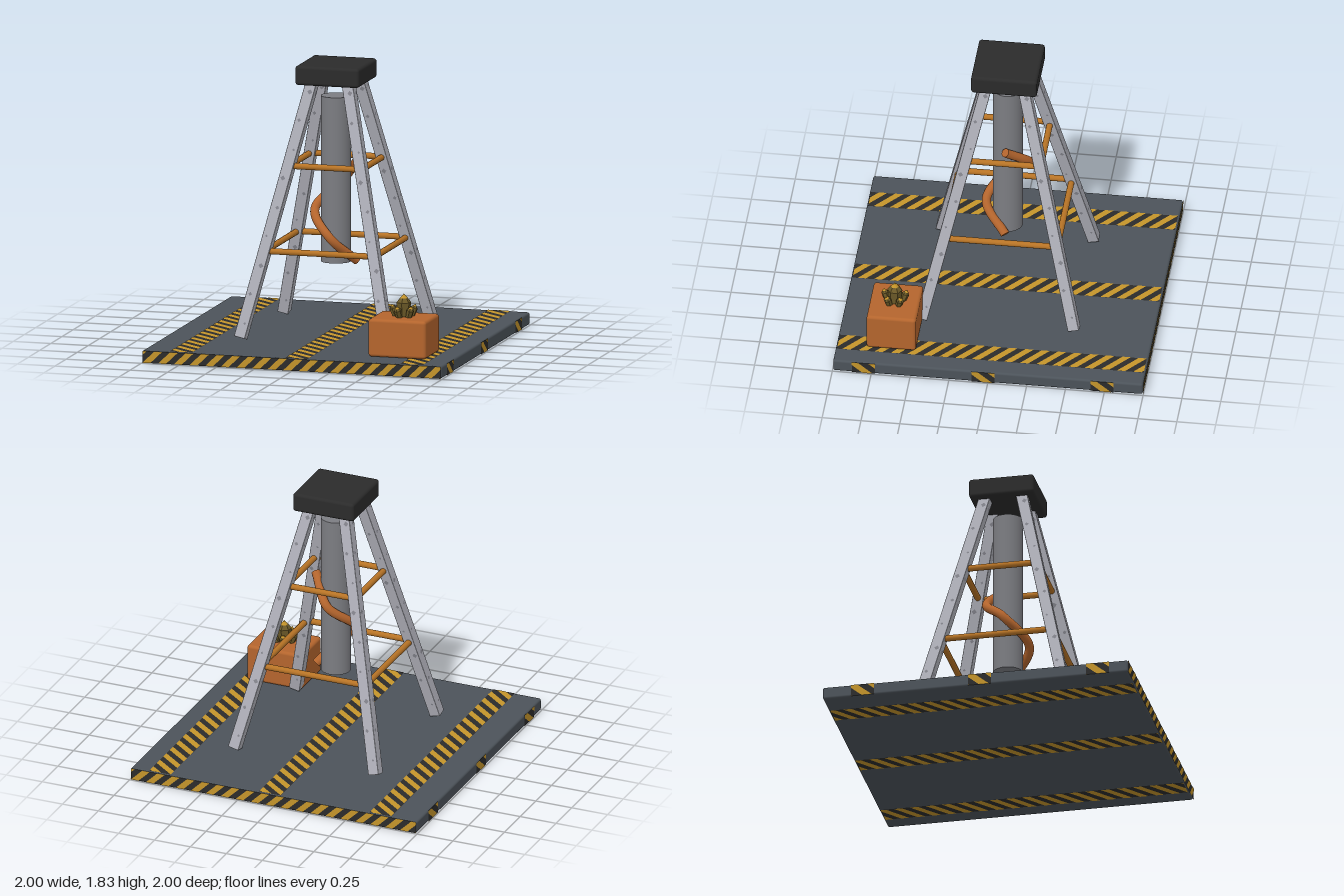
import * as THREE from 'three';
import { RoundedBoxGeometry } from 'three/addons/geometries/RoundedBoxGeometry.js';

const mat = (name, color, flatShading = false) => {
  const m = new THREE.MeshStandardMaterial({ color, flatShading });
  m.name = name;
  return m;
};
const V = (x, y, z) => new THREE.Vector3(x, y, z);

export function createModel() {
  const slate = mat('slate', 0x4c535a);
  const black = mat('black', 0x2b2b2b);
  const yellow = mat('hazardYellow', 0xc4942a);
  const steel = mat('lightSteel', 0xb0b1ba);
  const wear = mat('wornSteel', 0x84858d);
  const grey = mat('pipeGrey', 0x7c7d82);
  const brass = mat('brass', 0xb87426);
  const rust = mat('rustOrange', 0xb4652d);
  const ore = mat('ore', 0x6c5a28, true);

  const model = new THREE.Group();
  model.name = 'drillTower';
  const add = (name, geo, material, parent = model) => {
    const mesh = new THREE.Mesh(geo, material);
    mesh.name = name;
    parent.add(mesh);
    return mesh;
  };
  // Stand a mesh, made along y, between two points
  const span = (mesh, a, b) => {
    mesh.position.copy(a).lerp(b, 0.5);
    mesh.quaternion.setFromUnitVectors(V(0, 1, 0), b.clone().sub(a).normalize());
    return mesh;
  };

  // Base plate
  const H = 0.085;
  add('basePlate', new RoundedBoxGeometry(1.992, H - 0.004, 1.992, 2, 0.014), slate)
    .position.y = H / 2;

  // Cut a polygon to 0 <= x <= length
  const clip = (poly, length) => {
    for (const inside of [p => p.x, p => length - p.x]) {
      const out = [];
      poly.forEach((p, i) => {
        const q = poly[(i + 1) % poly.length];
        const dp = inside(p), dq = inside(q);
        if (dp >= 0) out.push(p);
        if (dp * dq < 0) out.push(p.clone().lerp(q, dp / (dp - dq)));
      });
      poly = out;
    }
    return poly;
  };

  // Hazard strip: dark plate with slanted yellow bars, length on local x
  const hazard = (name, length, width, lean, center, xAxis, yAxis, phase = 0) => {
    const strip = new THREE.Group();
    strip.name = name;
    add('darkStrip', new THREE.PlaneGeometry(length, width), black, strip).position.z = 0.0005;
    const period = 0.104, bars = [];
    for (let a = phase - 3 * period; a < length + 3 * period; a += period) {
      const poly = clip([
        new THREE.Vector2(a, 0), new THREE.Vector2(a + period / 2, 0),
        new THREE.Vector2(a + period / 2 + lean, width), new THREE.Vector2(a + lean, width),
      ], length);
      if (poly.length > 2) bars.push(new THREE.Shape(poly));
    }
    add('yellowBars', new THREE.ShapeGeometry(bars), yellow, strip)
      .position.set(-length / 2, -width / 2, 0.002);
    const zAxis = xAxis.clone().cross(yAxis);
    strip.quaternion.setFromRotationMatrix(new THREE.Matrix4().makeBasis(xAxis, yAxis, zAxis));
    strip.position.copy(center);
    model.add(strip);
  };
  for (const x of [-0.74, 0.03, 0.795]) {
    hazard('topStrip', 1.975, 0.15, 0.12, V(x, H - 0.001, 0), V(0, 0, 1), V(1, 0, 0));
    hazard('bottomStrip', 1.975, 0.15, -0.12, V(x, 0.002, 0), V(0, 0, 1), V(-1, 0, 0));
  }
  for (const z of [0.8, 0.03, -0.735]) {
    hazard('rightPatch', 0.076, 0.15, 0.12, V(0.997, H / 2, z), V(0, 1, 0), V(0, 0, 1), 0.04);
    hazard('leftPatch', 0.076, 0.15, 0.12, V(-0.997, H / 2, z), V(0, 1, 0), V(0, 0, -1), 0.04);
  }
  hazard('frontStrip', 1.985, 0.077, 0.08, V(0, H / 2, 0.997), V(1, 0, 0), V(0, 1, 0));
  hazard('backStrip', 1.985, 0.077, 0.08, V(0, H / 2, -0.997), V(-1, 0, 0), V(0, 1, 0));

  // Leaning legs with small worn marks on each face
  const legX = y => 0.49 - 0.229 * (y - 0.1);
  const legPoint = (sx, y, sz) => V(sx * legX(y), y, sz * legX(y));
  const corners = [[1, 1], [1, -1], [-1, -1], [-1, 1]];
  const W = 0.073;
  for (const [sx, sz] of corners) {
    const a = legPoint(sx, 0.102, sz), b = legPoint(sx, 1.75, sz);
    const length = a.distanceTo(b);
    const leg = span(add('leg', new RoundedBoxGeometry(W, length, W, 1, 0.004), steel), a, b);
    for (let face = 0; face < 4; face++) {
      const side = new THREE.Group();
      side.name = 'wearMarks';
      side.rotation.y = face * Math.PI / 2;
      leg.add(side);
      for (let i = 0; i < 9; i++) {
        const mark = add('wearMark', new THREE.CircleGeometry(0.009 + 0.004 * (i % 3), 4), wear, side);
        mark.position.set(i % 2 ? -0.008 : 0.01, -length / 2 + 0.095 + i * 0.192, W / 2 + 0.001);
      }
    }
  }

  // Two rings of cross bars
  for (const y of [0.65, 1.187]) {
    corners.forEach(([sx, sz], i) => {
      const [tx, tz] = corners[(i + 1) % 4];
      const a = legPoint(sx, y, sz), b = legPoint(tx, y, tz);
      span(add('crossBar', new THREE.CylinderGeometry(0.02, 0.02, a.distanceTo(b), 12), brass), a, b);
    });
  }

  // Cap block and hanging drill column
  add('cap', new RoundedBoxGeometry(0.424, 0.125, 0.424, 3, 0.02), black).position.y = 1.768;
  add('column', new THREE.CylinderGeometry(0.097, 0.097, 1.075, 32), grey).position.y = 1.0775;

  // Hose winding once round the column
  const points = [];
  for (let i = 0; i < 5; i++) {
    const t = i * Math.PI / 2;
    points.push(V(0.14 * Math.cos(t), 0.55 + i * 0.162, 0.14 * Math.sin(t)));
  }
  const path = new THREE.CatmullRomCurve3(points);
  add('hose', new THREE.TubeGeometry(path, 48, 0.029, 12), rust);
  for (const t of [0, 1]) {
    const end = add('hoseEnd', new THREE.CircleGeometry(0.029, 12), rust);
    const out = path.getTangent(t).multiplyScalar(t ? 1 : -1);
    end.position.copy(path.getPoint(t));
    end.quaternion.setFromUnitVectors(V(0, 0, 1), out);
  }

  // Crate
  add('crate', new RoundedBoxGeometry(0.384, 0.245, 0.318, 3, 0.02), rust)
    .position.set(0.642, 0.207, 0.644);

  // Ore cluster: a tall crystal ringed by five leaning ones
  const cluster = new THREE.Group();
  cluster.name = 'oreCluster';
  cluster.position.set(0.642, 0.32, 0.644);
  model.add(cluster);
  const crystal = (radius, height, tip) => {
    const g = new THREE.Group();
    g.name = 'crystal';
    add('crystalBody', new THREE.CylinderGeometry(radius, radius * 0.8, height, 6), ore, g)
      .position.y = height / 2;
    add('crystalShoulder', new THREE.CylinderGeometry(radius * 0.55, radius, tip / 2, 6), ore, g)
      .position.y = height + tip / 4;
    add('crystalTip', new THREE.ConeGeometry(radius * 0.55, tip / 2, 6), yellow, g)
      .position.y = height + tip * 0.75;
    cluster.add(g);
    return g;
  };
  crystal(0.048, 0.1, 0.055);
  for (let i = 0; i < 5; i++) {
    const angle = Math.PI + i * Math.PI * 0.4;
    const c = crystal(0.025, 0.062, 0.028);
    c.position.set(0.048 * Math.cos(angle), 0, 0.048 * Math.sin(angle));
    c.quaternion.setFromUnitVectors(V(0, 1, 0),
      V(0.38 * Math.cos(angle), 1, 0.38 * Math.sin(angle)).normalize());
  }
  return model;
}
